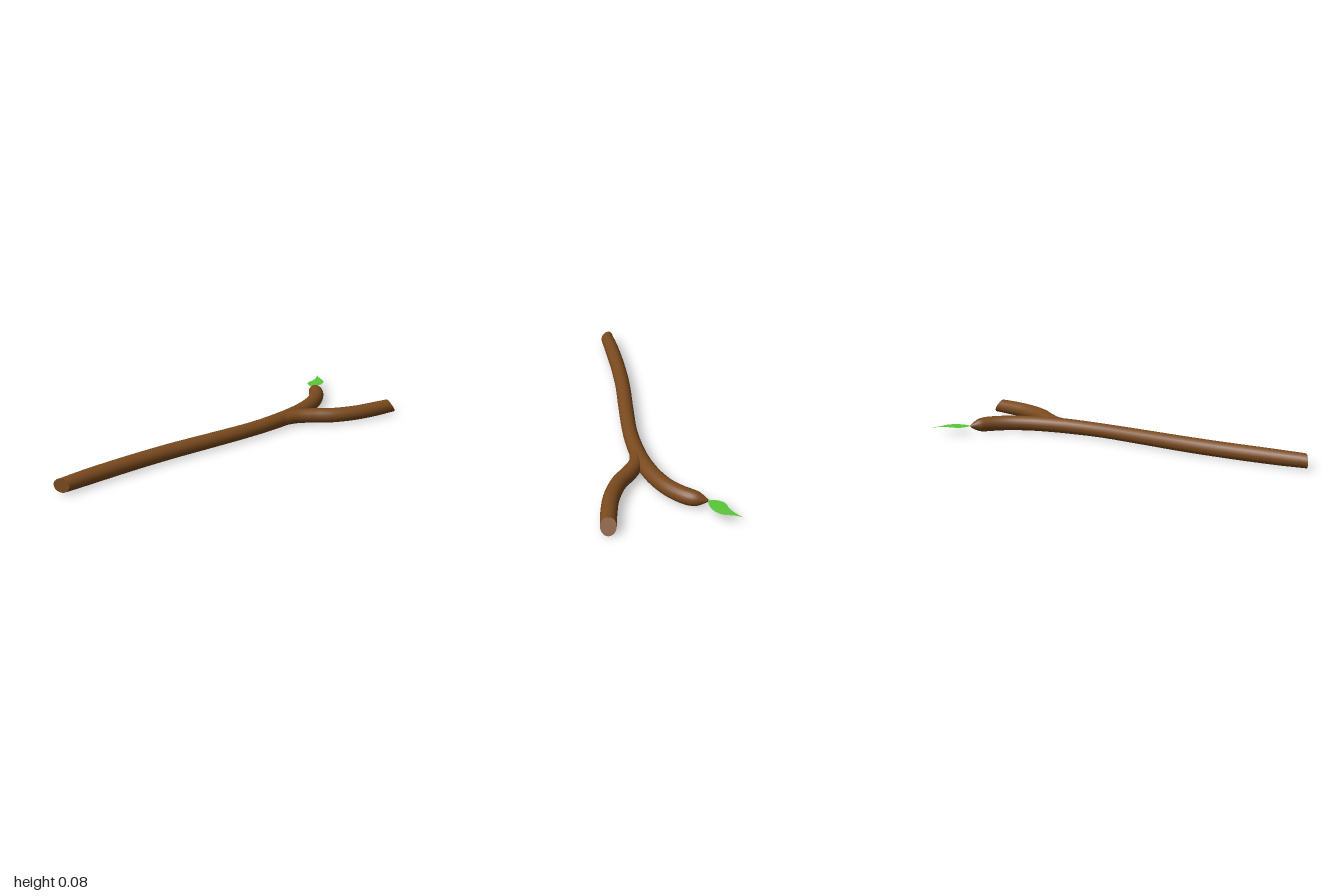
import * as THREE from 'three';

const MID = 0.04; // height of the wood's centre line
const SIDES = 20;

// Tapered wooden limb lying flat. Points are [x, z, radius];
// a slant [side, up] shears an end ring along the limb to give an oblique cut.
function limb(name, points, steps, material, startSlant = [0, 0], endSlant = [0, 0]) {
  const curve = new THREE.CatmullRomCurve3(points.map(([x, z, r]) => new THREE.Vector3(x, r, z)));
  const pos = [], index = [];
  for (let i = 0; i <= steps; i++) {
    const p = curve.getPoint(i / steps);
    const t = curve.getTangent(i / steps).setY(0).normalize();
    const r = Math.min(p.y, MID);
    const [ss, su] = i === 0 ? startSlant : i === steps ? endSlant : [0, 0];
    for (let j = 0; j <= SIDES; j++) {
      const a = (j / SIDES) * Math.PI * 2;
      const c = Math.cos(a) * r, s = Math.sin(a) * r;
      const along = ss * c + su * s;
      pos.push(p.x - t.z * c + t.x * along, MID + s, p.z + t.x * c + t.z * along);
    }
  }
  const row = SIDES + 1;
  for (let i = 0; i < steps; i++) {
    for (let j = 0; j < SIDES; j++) {
      const a = i * row + j, b = a + row;
      index.push(a, b, a + 1, b, b + 1, a + 1);
    }
  }
  // Flat end caps with their own vertices, so the cut edges stay sharp
  for (const end of [false, true]) {
    const ring = (end ? steps : 0) * row;
    const base = pos.length / 3;
    const p = curve.getPoint(end ? 1 : 0);
    pos.push(p.x, MID, p.z);
    for (let j = 0; j <= SIDES; j++) pos.push(...pos.slice((ring + j) * 3, (ring + j) * 3 + 3));
    for (let j = 1; j <= SIDES; j++) {
      if (end) index.push(base, base + j + 1, base + j);
      else index.push(base, base + j, base + j + 1);
    }
  }
  const geo = new THREE.BufferGeometry();
  geo.setAttribute('position', new THREE.Float32BufferAttribute(pos, 3));
  geo.setIndex(index);
  geo.computeVertexNormals();
  // Average the normals across the seam of each ring
  const n = geo.attributes.normal;
  for (let i = 0; i <= steps; i++) {
    const a = i * row, b = a + SIDES;
    const v = new THREE.Vector3().fromBufferAttribute(n, a)
      .add(new THREE.Vector3().fromBufferAttribute(n, b)).normalize();
    n.setXYZ(a, v.x, v.y, v.z);
    n.setXYZ(b, v.x, v.y, v.z);
  }
  const mesh = new THREE.Mesh(geo, material);
  mesh.name = name;
  return mesh;
}

export function createModel() {
  const group = new THREE.Group();
  group.name = 'twig';
  const bark = new THREE.MeshStandardMaterial({ color: 0x7a4a1e });
  const green = new THREE.MeshStandardMaterial({ color: 0x5cc83a, side: THREE.DoubleSide });

  // Main stem, curving back to a tapered tip
  group.add(limb('mainStem', [
    [-0.98, 0.055, 0.036], [-0.84, 0.047, 0.039], [-0.6, 0.04, 0.04], [-0.35, 0.043, 0.04],
    [-0.1, 0.059, 0.039], [0.18, 0.073, 0.038], [0.38, 0.063, 0.04], [0.5, 0.043, 0.04],
    [0.6, 0.015, 0.04], [0.7, -0.032, 0.04], [0.765, -0.083, 0.04], [0.797, -0.12, 0.039],
    [0.816, -0.152, 0.033], [0.837, -0.194, 0.007],
  ], 78, bark, [0.55, 0]));

  // Side branch, forking forward with an oblique cut
  group.add(limb('sideBranch', [
    [0.34, 0.066, 0.034], [0.46, 0.082, 0.037], [0.54, 0.124, 0.039], [0.63, 0.19, 0.039],
    [0.75, 0.24, 0.039], [0.87, 0.266, 0.039], [0.976, 0.281, 0.037],
  ], 40, bark, [0, 0], [0, -0.62]));

  // Flat leaf at the stem's tip, drawn in x and -z
  const shape = new THREE.Shape();
  shape.moveTo(0.838, 0.195);
  shape.bezierCurveTo(0.87, 0.185, 0.92, 0.19, 0.95, 0.22);
  shape.bezierCurveTo(0.978, 0.25, 0.965, 0.285, 1.0, 0.325);
  shape.bezierCurveTo(0.96, 0.295, 0.93, 0.275, 0.89, 0.272);
  shape.bezierCurveTo(0.85, 0.266, 0.838, 0.23, 0.838, 0.195);
  const leaf = new THREE.Mesh(new THREE.ShapeGeometry(shape, 10).rotateX(-Math.PI / 2), green);
  leaf.name = 'leaf';
  leaf.position.y = 0.043;
  group.add(leaf);

  return group;
}
